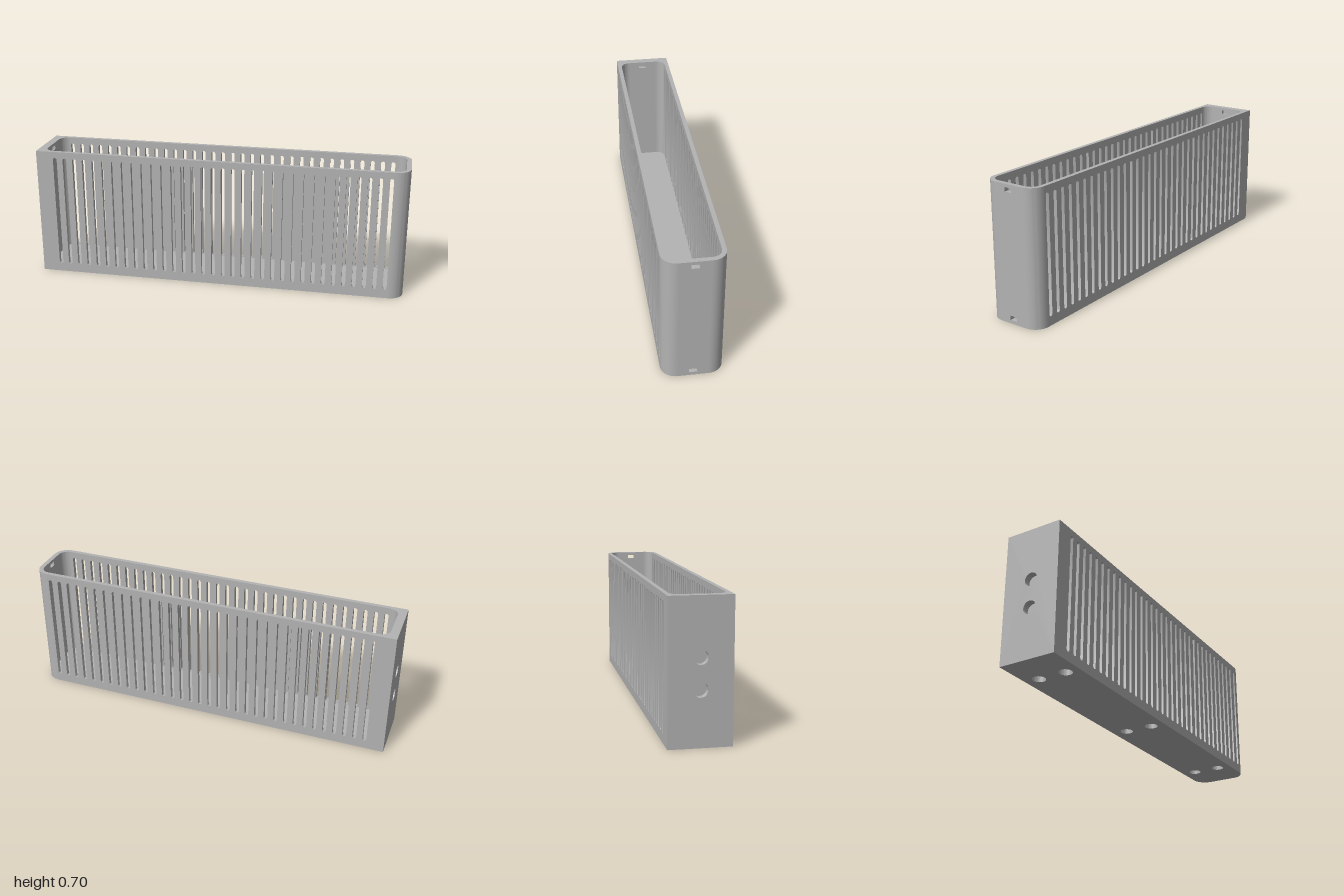
import * as THREE from 'three';
import { toCreasedNormals } from 'three/addons/utils/BufferGeometryUtils.js';

const H = 0.7, FLOOR = 0.045;            // height, floor thickness
const W = 0.153, WI = 0.131;             // outer and inner half depth
const XL = -0.957, XR = 0.975;           // inner ends of the tray
const R = 0.075, RI = 0.05;              // outer and inner corner radii
const PI = Math.PI;

// ---- 2D outlines (counter-clockwise point lists) ----
function arc(cx, cy, r, a0, a1, n = 12) {
  return Array.from({ length: n + 1 }, (_, i) => {
    const a = a0 + (a1 - a0) * i / n;
    return new THREE.Vector2(cx + r * Math.cos(a), cy + r * Math.sin(a));
  });
}
const rect = (x0, y0, x1, y1) =>
  [[x0, y0], [x1, y0], [x1, y1], [x0, y1]].map(p => new THREE.Vector2(...p));
const circle = (x, y, r) => arc(x, y, r, 0, 2 * PI, 32).slice(0, -1);
const slot = (x, y0, y1, r) => [...arc(x, y1 - r, r, 0, PI, 8), ...arc(x, y0 + r, r, PI, 2 * PI, 8)];

// ---- surfaces ----
function plate(outline, holes = []) {
  const s = new THREE.Shape(outline);
  s.holes = holes.map(h => new THREE.Path(h));
  return new THREE.ShapeGeometry(s);
}
// strip going from z = 0 to z = -depth, facing right of the path direction
function band(points, depth, closed = false) {
  const pos = [], n = points.length;
  for (let i = 0; i < (closed ? n : n - 1); i++) {
    const a = points[i], b = points[(i + 1) % n];
    pos.push(a.x, a.y, 0, a.x, a.y, -depth, b.x, b.y, 0);
    pos.push(b.x, b.y, 0, a.x, a.y, -depth, b.x, b.y, -depth);
  }
  const g = new THREE.BufferGeometry();
  g.setAttribute('position', new THREE.Float32BufferAttribute(pos, 3));
  return toCreasedNormals(g, 0.6);
}

export function createModel() {
  const model = new THREE.Group();
  model.name = 'slottedTray';
  const grey = new THREE.MeshStandardMaterial({ color: 0xb3b3b3 });
  grey.name = 'grey plastic';

  // a plane whose local z points out of the surface
  function plane(name, x, y, z, rx, ry) {
    const g = new THREE.Group();
    g.name = name;
    g.position.set(x, y, z);
    g.rotation.set(rx, ry, 0);
    model.add(g);
    return g;
  }
  function add(parent, name, geometry, z = 0) {
    const m = new THREE.Mesh(geometry, grey);
    m.name = name;
    m.position.z = z;
    parent.add(m);
  }
  const tunnel = (parent, name, outline, depth) =>
    add(parent, name, band([...outline].reverse(), depth, true));
  function pocket(parent, name, outline, depth) {
    tunnel(parent, name + 'Wall', outline, depth);
    add(parent, name + 'Bottom', plate(outline), -depth);
  }

  // long slotted walls, front and back
  const slotXs = Array.from({ length: 34 }, (_, i) => -0.895 + i * 1.8 / 33);
  for (const side of [1, -1]) {
    const label = side > 0 ? 'front' : 'back';
    const slots = s => slotXs.map(x => slot(s * x, 0.048, 0.666, 0.0105));
    const span = (s, x0, x1, y0) => s > 0 ? rect(x0, y0, x1, H) : rect(-x1, y0, -x0, H);

    const outer = plane(label + 'Wall', 0, 0, side * W, 0, side > 0 ? 0 : PI);
    add(outer, label + 'OuterFace', plate(span(side, -1, 1 - R, 0), slots(side)));
    slots(side).forEach(s => tunnel(outer, 'ventSlot', s, W - WI));

    const inner = plane(label + 'WallInside', 0, 0, side * WI, 0, side > 0 ? PI : 0);
    add(inner, label + 'InnerFace', plate(span(-side, XL + RI, XR - RI, FLOOR), slots(-side)));
  }

  // rim and rounded vertical corners
  const outerArcs = [arc(1 - R, R - W, R, -PI / 2, 0), arc(1 - R, W - R, R, 0, PI / 2)];
  const innerArcs = [
    [XR - RI, RI - WI, -PI / 2], [XR - RI, WI - RI, 0],
    [XL + RI, WI - RI, PI / 2], [XL + RI, RI - WI, PI],
  ].map(([x, y, a]) => arc(x, y, RI, a, a + PI / 2));
  const outline = [new THREE.Vector2(-1, -W), ...outerArcs.flat(), new THREE.Vector2(-1, W)];
  const cavity = innerArcs.flat();
  const top = plane('rim', 0, H, 0, -PI / 2, 0);
  add(top, 'topRim', plate(outline, [cavity]));
  outerArcs.forEach(a => add(top, 'outerCorner', band(a, H)));
  innerArcs.forEach(a => add(top, 'innerCorner', band([...a].reverse(), H - FLOOR)));

  // floor inside, and underside with round blind sockets
  add(plane('floor', 0, FLOOR, 0, -PI / 2, 0), 'floorInside', plate(cavity));
  const sockets = [-0.8, -0.01, 0.78].flatMap(x => [-0.076, 0.076].map(z => circle(x, z, 0.034)));
  const under = plane('base', 0, 0, 0, PI / 2, 0);
  add(under, 'underside', plate(outline, sockets));
  sockets.forEach(s => pocket(under, 'baseSocket', s, 0.035));

  // square end with two round sockets outside and a catch notch inside
  const highNotch = rect(-0.02, 0.662, 0.02, 0.684);
  const lowNotch = rect(-0.02, 0.018, 0.02, 0.04);
  const endSockets = [0.27, 0.42].map(y => circle(0, y, 0.035));
  const square = plane('squareEnd', -1, 0, 0, 0, -PI / 2);
  add(square, 'squareEndFace', plate(rect(-W, 0, W, H), endSockets));
  endSockets.forEach(s => pocket(square, 'endSocket', s, 0.035));
  const squareIn = plane('squareEndInside', XL, 0, 0, 0, PI / 2);
  add(squareIn, 'squareEndInnerFace', plate(rect(RI - WI, FLOOR, WI - RI, H), [highNotch]));
  pocket(squareIn, 'catchNotch', highNotch, 0.02);

  // rounded end with an open notch above and a blind one below
  const round = plane('roundedEnd', 1, 0, 0, 0, PI / 2);
  add(round, 'roundedEndFace', plate(rect(R - W, 0, W - R, H), [highNotch, lowNotch]));
  tunnel(round, 'upperNotch', highNotch, 1 - XR);
  pocket(round, 'lowerNotch', lowNotch, 0.025);
  const roundIn = plane('roundedEndInside', XR, 0, 0, 0, -PI / 2);
  add(roundIn, 'roundedEndInnerFace', plate(rect(RI - WI, FLOOR, WI - RI, H), [highNotch]));

  return model;
}
